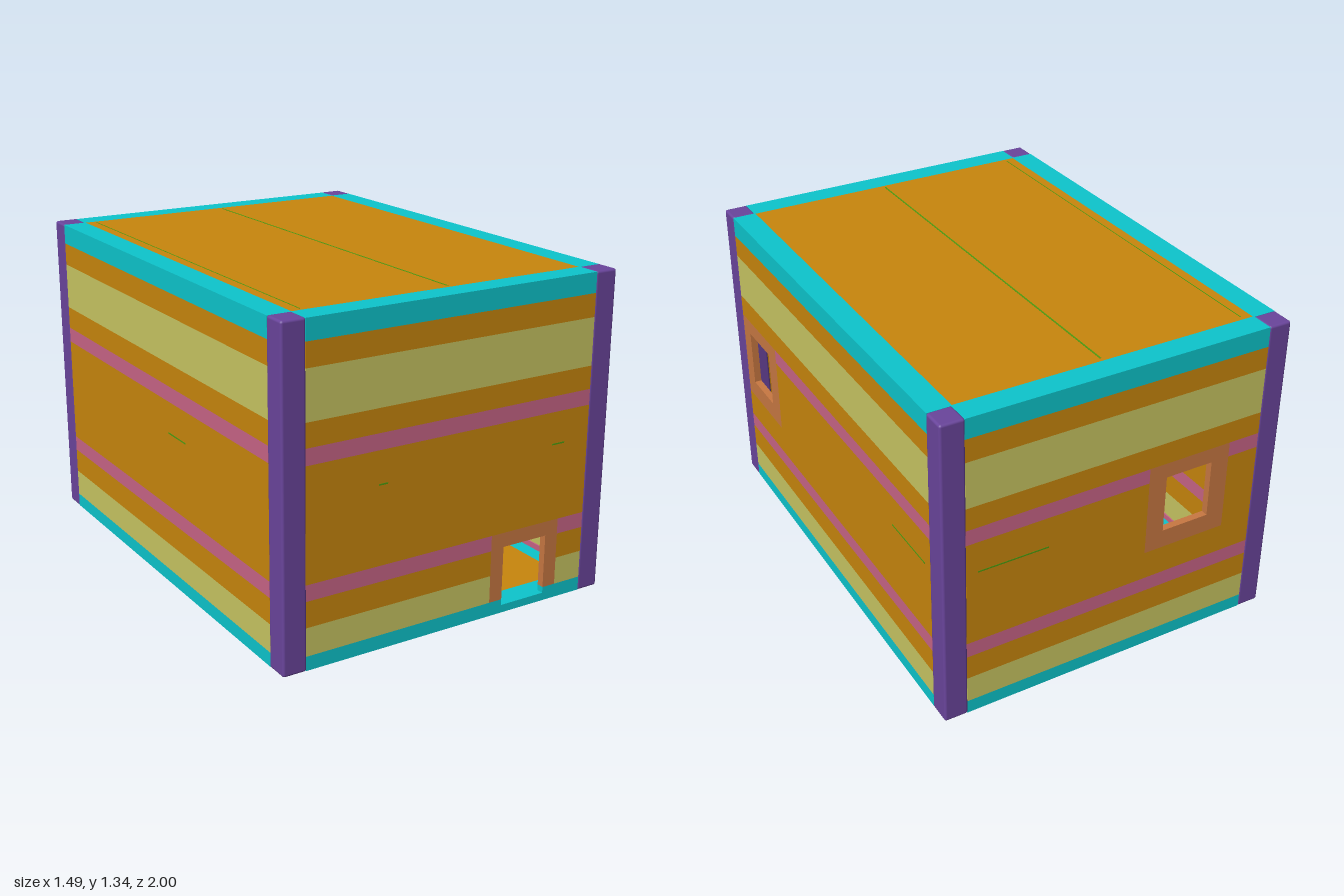
import * as THREE from 'three';
import { mergeGeometries } from 'three/addons/utils/BufferGeometryUtils.js';
import { RoundedBoxGeometry } from 'three/addons/geometries/RoundedBoxGeometry.js';

const paint = (name, color) => {
  const m = new THREE.MeshStandardMaterial({ color });
  m.name = name;
  return m;
};
const mats = {
  ochre: paint('ochre', 0xc8860d),
  cyan: paint('cyan', 0x0dc5cc),
  purple: paint('purple', 0x6a459c),
  straw: paint('straw', 0xc8c562),
  pink: paint('pink', 0xc86486),
  terracotta: paint('terracotta', 0xc87842),
  green: paint('green', 0x4f9a10),
};

const W = 0.745, D = 1, H = 1.335; // half width, half depth, height
const POST = 0.1, WALL = 0.03, FLOOR = 0.035;

// Horizontal colour bands: [top height, colour], from the floor upwards
const BANDS = [
  [0.06, 'cyan'], [0.175, 'straw'], [0.28, 'ochre'], [0.345, 'pink'], [0.8, 'ochre'],
  [0.865, 'pink'], [0.96, 'ochre'], [1.155, 'straw'], [1.25, 'ochre'],
];

// Axis-aligned box from its two corners
function block(x0, x1, y0, y1, z0, z1) {
  return new THREE.BoxGeometry(x1 - x0, y1 - y0, z1 - z0)
    .translate((x0 + x1) / 2, (y0 + y1) / 2, (z0 + z1) / 2);
}

function add(parent, name, geometry, color) {
  const mesh = new THREE.Mesh(geometry, mats[color]);
  mesh.name = name;
  parent.add(mesh);
  return mesh;
}

const inside = (r, x, y) => r && x > r[0] && x < r[1] && y > r[2] && y < r[3];

// One banded wall facing +z, at distance dist, with an optional opening and its surround.
// Rectangles are [x0, x1, y0, y1].
function makeWall(name, half, dist, hole, frame, seams) {
  const wall = new THREE.Group();
  wall.name = name;
  const sort = (a) => [...new Set(a)].sort((p, q) => p - q);
  const xs = sort([-half, half, ...(hole ? [hole[0], hole[1], frame[0], frame[1]] : [])]);
  const ys = sort([FLOOR, ...BANDS.map((b) => b[0]), ...(hole ? [hole[2], hole[3], frame[2], frame[3]] : [])]);
  const out = dist - 0.002;
  const cells = {};
  for (let i = 0; i < xs.length - 1; i++) {
    for (let j = 0; j < ys.length - 1; j++) {
      const cx = (xs[i] + xs[i + 1]) / 2, cy = (ys[j] + ys[j + 1]) / 2;
      if (inside(hole, cx, cy)) continue;
      const color = inside(frame, cx, cy) ? 'terracotta' : BANDS.find((b) => cy < b[0])[1];
      (cells[color] ??= []).push(block(xs[i], xs[i + 1], ys[j], ys[j + 1], out - WALL, out));
    }
  }
  const labels = { terracotta: 'openingSurround', cyan: 'bottomRail' };
  for (const color in cells) add(wall, labels[color] ?? color + 'Bands', mergeGeometries(cells[color]), color);
  // Pink skirting along the inner foot of the wall
  if (!hole || hole[2] > FLOOR) {
    add(wall, 'skirting', block(-half, half, FLOOR, 0.06, out - WALL - 0.006, out - WALL), 'pink');
  }
  // Thin broken seam at half height
  for (const [a, b] of seams) add(wall, 'wallSeam', block(a, b, 0.664, 0.67, out - 0.001, out + 0.001), 'green');
  return wall;
}

export function createModel() {
  const model = new THREE.Group();
  model.name = 'bandedHouse';
  const ix = W - POST + 0.003, iz = D - POST + 0.003;

  // Walls: doorway in front, windows on the right-hand and back walls
  model.add(makeWall('frontWall', ix, D, [0.25, 0.46, FLOOR, 0.285], [0.19, 0.52, 0.06, 0.345],
    [[-0.34, -0.3], [0.47, 0.53]]));
  const back = makeWall('backWall', ix, D, [0.22, 0.43, 0.55, 0.8], [0.14, 0.51, 0.47, 0.865],
    [[-0.6, -0.3]]);
  back.rotation.y = Math.PI;
  const windowWall = makeWall('windowSideWall', iz, W, [-0.83, -0.615, 0.55, 0.8], [-iz, -0.53, 0.47, 0.865],
    [[0.59, 0.86]]);
  windowWall.rotation.y = Math.PI / 2;
  const plainWall = makeWall('plainSideWall', iz, W, null, null, [[0.1, 0.25]]);
  plainWall.rotation.y = -Math.PI / 2;
  model.add(back, windowWall, plainWall);

  // Corner posts, and the beams between them
  for (const s of [-1, 1]) {
    for (const t of [-1, 1]) {
      const post = add(model, 'cornerPost', new RoundedBoxGeometry(POST, H, POST, 2, 0.01), 'purple');
      post.position.set(s * (W - POST / 2), H / 2, t * (D - POST / 2));
    }
    for (const [label, y0, y1] of [['bottomBeam', 0.002, FLOOR], ['topBeam', 1.25, H - 0.002]]) {
      const h = y1 - y0, y = (y0 + y1) / 2;
      const cross = add(model, label, new THREE.BoxGeometry(2 * ix, h, POST), 'cyan');
      cross.position.set(0, y, s * (D - POST / 2 - 0.002));
      const side = add(model, label, new THREE.BoxGeometry(POST, h, 2 * iz), 'cyan');
      side.position.set(s * (W - POST / 2 - 0.002), y, 0);
    }
  }

  // Floor and roof panels inside the beams
  const px = W - POST - 0.002, pz = D - POST - 0.002;
  add(model, 'floor', block(-px, px, 0.002, FLOOR, -pz, pz), 'ochre');
  add(model, 'roof', block(-px, px, H - 0.035, H - 0.002, -pz, pz), 'ochre');
  add(model, 'roofSeam', block(0.026, 0.033, H - 0.003, H - 0.001, -0.88, 0.88), 'green');
  add(model, 'roofEdgeSeam', block(-0.602, -0.598, H - 0.003, H - 0.001, -0.88, 0.88), 'green');

  return model;
}
